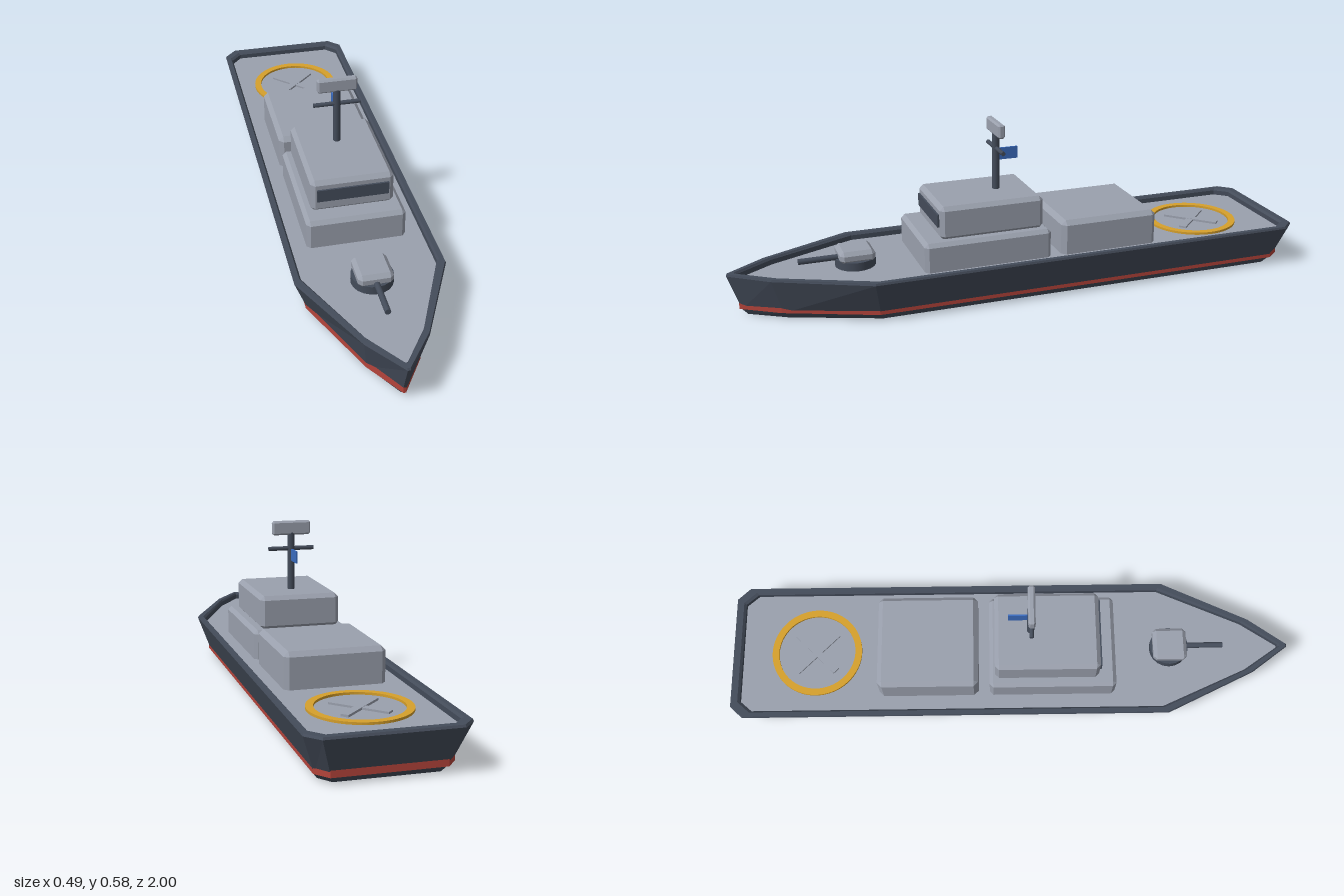
import * as THREE from 'three';
import { ConvexGeometry } from 'three/addons/geometries/ConvexGeometry.js';

const mat = (name, color) => {
  const m = new THREE.MeshStandardMaterial({ color });
  m.name = name;
  return m;
};

// Plan of the hull at deck level, counter-clockwise seen from above
const half = [[0.005, 1], [0.1, 0.87], [0.247, 0.56], [0.247, -0.955], [0.205, -1]];
const outline = [...half, ...half.map(([x, z]) => [-x, z]).reverse()];

// Skins scaled copies of the plan, each given as [y, scaleX, scaleZ]
function loft(sections, capBottom, capTop) {
  const pos = [];
  const rings = sections.map(([y, sx, sz]) => outline.map(([x, z]) => [x * sx, y, z * sz]));
  const tri = (a, b, c) => pos.push(...a, ...b, ...c);
  const n = outline.length;
  const last = rings.length - 1;
  for (let k = 0; k < n; k++) {
    const j = (k + 1) % n;
    for (let i = 0; i < last; i++) {
      tri(rings[i][k], rings[i][j], rings[i + 1][j]);
      tri(rings[i][k], rings[i + 1][j], rings[i + 1][k]);
    }
    if (capBottom) tri([0, sections[0][0], 0], rings[0][j], rings[0][k]);
    if (capTop) tri([0, sections[last][0], 0], rings[last][k], rings[last][j]);
  }
  const g = new THREE.BufferGeometry();
  g.setAttribute('position', new THREE.Float32BufferAttribute(pos, 3));
  g.computeVertexNormals();
  return g;
}

// Box with every edge cut off at 45 degrees
function chamferBox(w, h, d, c) {
  const pts = [];
  for (const x of [-1, 1]) for (const y of [-1, 1]) for (const z of [-1, 1]) {
    for (let face = 0; face < 3; face++) {
      pts.push(new THREE.Vector3(
        x * (w / 2 - (face === 0 ? 0 : c)),
        y * (h / 2 - (face === 1 ? 0 : c)),
        z * (d / 2 - (face === 2 ? 0 : c))));
    }
  }
  return new ConvexGeometry(pts);
}

export function createModel() {
  const ship = new THREE.Group();
  ship.name = 'patrolShip';

  const grey = mat('deckGrey', 0x9aa0ad);
  const dark = mat('hullSlate', 0x444c5a);
  const red = mat('waterlineRed', 0xb5443b);
  const yellow = mat('padYellow', 0xd6a02c);
  const blue = mat('flagBlue', 0x3a6cc0);

  const add = (name, geometry, material, x = 0, y = 0, z = 0, parent = ship) => {
    const mesh = new THREE.Mesh(geometry, material);
    mesh.name = name;
    mesh.position.set(x, y, z);
    parent.add(mesh);
    return mesh;
  };
  // Chamfered block given by its limits in y and z
  const block = (name, w, y0, y1, z0, z1, c, parent = ship) =>
    add(name, chamferBox(w, y1 - y0, z1 - z0, c), grey, 0, (y0 + y1) / 2, (z0 + z1) / 2, parent);

  // Hull with raised bulwark, waterline band and deck
  const deckY = 0.126;
  add('hull', loft([
    [0, 0.77, 0.94], [0.02, 0.82, 0.958], [0.143, 1, 1], [0.15, 0.99, 0.996],
    [0.15, 0.925, 0.974], [0.143, 0.9, 0.966], [deckY - 0.004, 0.9, 0.966],
  ], true, false), dark);
  add('waterline', loft([[0.022, 0.842, 0.966], [0.05, 0.842, 0.966]], true, true), red);
  add('deck', loft([[deckY - 0.003, 0.905, 0.968], [deckY, 0.905, 0.968]], false, true), grey);

  // Superstructure
  block('hangar', 0.335, deckY - 0.02, 0.247, -0.47, -0.115, 0.016);
  block('deckhouse', 0.335, deckY - 0.02, 0.226, -0.075, 0.372, 0.013);
  block('bridge', 0.28, 0.222, 0.339, -0.055, 0.31, 0.014);
  add('bridgeWindow', new THREE.BoxGeometry(0.242, 0.044, 0.009), dark, 0, 0.288, 0.312);

  // Mast with yard, radar and flag
  const mast = new THREE.Group();
  mast.name = 'mast';
  mast.position.z = 0.07;
  ship.add(mast);
  add('mastPole', new THREE.CylinderGeometry(0.013, 0.013, 0.21, 12), dark, 0, 0.435, 0, mast);
  add('yard', new THREE.CylinderGeometry(0.0075, 0.0075, 0.162, 10), dark, 0, 0.484, 0, mast)
    .rotation.z = Math.PI / 2;
  block('radar', 0.136, 0.532, 0.581, -0.012, 0.012, 0.006, mast);
  add('flag', new THREE.BoxGeometry(0.005, 0.042, 0.07), blue, 0, 0.462, -0.043, mast);

  // Foredeck gun
  const gun = new THREE.Group();
  gun.name = 'gun';
  gun.position.z = 0.573;
  ship.add(gun);
  add('gunBase', new THREE.CylinderGeometry(0.069, 0.069, 0.03, 20), dark, 0, deckY + 0.014, 0, gun);
  block('turret', 0.116, 0.147, 0.19, -0.06, 0.06, 0.013, gun);
  add('barrel', new THREE.CylinderGeometry(0.01, 0.01, 0.15, 12), dark, 0, 0.159, 0.117, gun)
    .rotation.x = Math.PI / 2;

  // Landing pad: yellow ring and a plain cross
  const pad = new THREE.Group();
  pad.name = 'landingPad';
  pad.position.set(0, deckY, -0.7);
  ship.add(pad);
  const ring = new THREE.Shape().absarc(0, 0, 0.162, 0, Math.PI * 2);
  ring.holes.push(new THREE.Path().absarc(0, 0, 0.138, 0, Math.PI * 2, true));
  add('padRing', new THREE.ExtrudeGeometry(ring, { depth: 0.008, bevelEnabled: false, curveSegments: 32 }),
    yellow, 0, 0, 0, pad).rotation.x = -Math.PI / 2;
  for (const s of [-1, 1]) {
    add('padCross', new THREE.BoxGeometry(0.2, 0.008, 0.026), grey, 0, 0.003 + s * 0.0005, 0, pad)
      .rotation.y = s * Math.PI / 4;
  }

  return ship;
}
